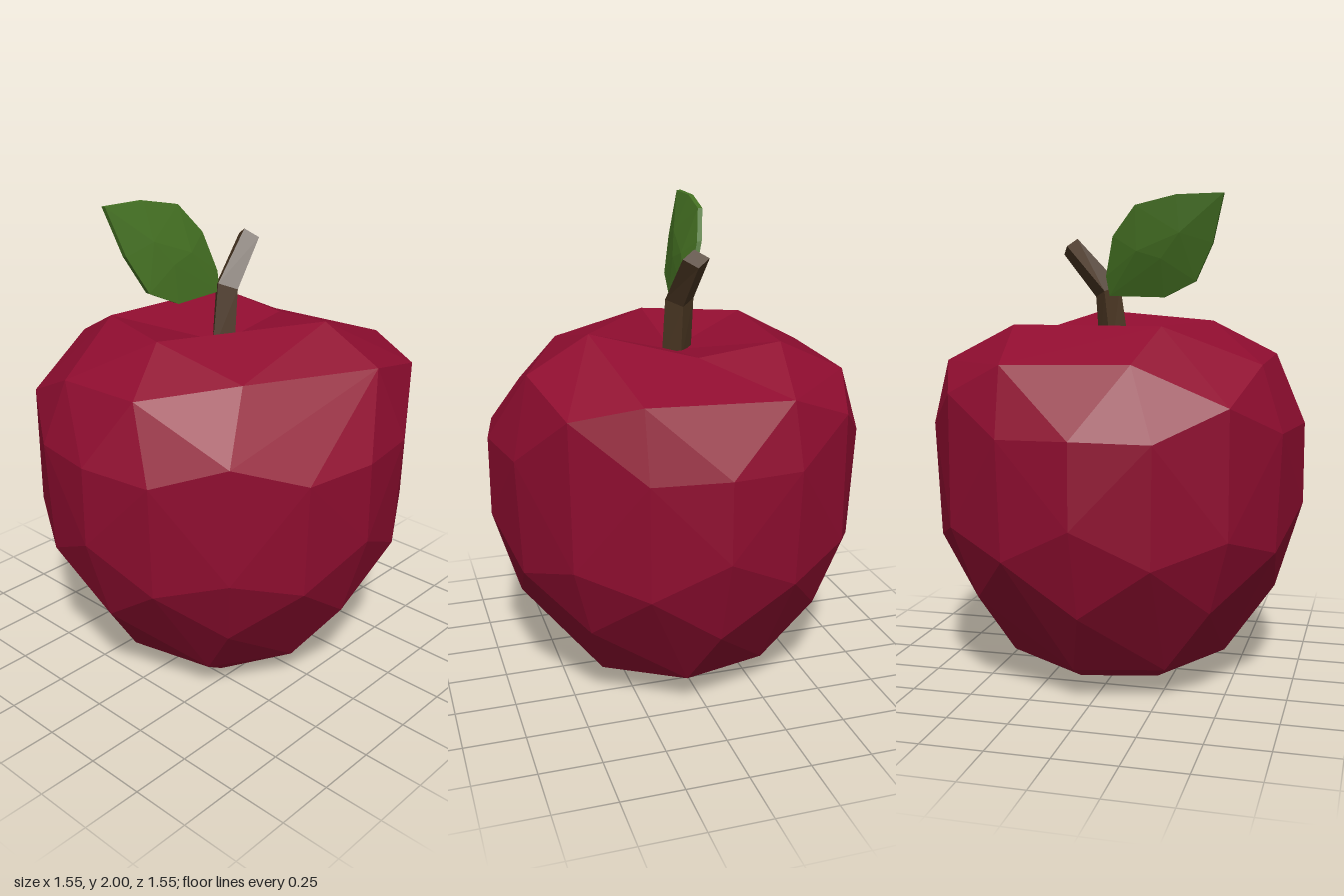
import * as THREE from 'three';
import { ConvexGeometry } from 'three/addons/geometries/ConvexGeometry.js';

const flat = (name, color) => Object.assign(new THREE.MeshStandardMaterial({ color, flatShading: true }), { name });
const V = (x, y, z) => new THREE.Vector3(x, y, z);

// Ring of n points around the y axis
function ring(y, r, n, phase = 0) {
  return Array.from({ length: n }, (_, i) => {
    const a = ((i + phase) / n) * Math.PI * 2;
    return V(r * Math.cos(a), y, r * Math.sin(a));
  });
}

function fromTriangles(points) {
  const g = new THREE.BufferGeometry().setFromPoints(points);
  g.computeVertexNormals();
  return g;
}

// Faceted fruit: a convex shell whose top cap is replaced by a shallow dimple
function bodyGeometry() {
  const rim = [
    V(-0.39, 1.5, 0.02), V(0.18, 1.53, 0.39), V(0.66, 1.36, 0.3),
    V(0.66, 1.34, -0.28), V(0.35, 1.49, -0.34), V(-0.26, 1.49, -0.39),
  ];
  const shoulder = [
    V(0.2, 1.39, 0.64), V(0.56, 1.3, 0.56), V(-0.34, 1.41, 0.42), V(-0.64, 1.36, 0.15),
    V(-0.55, 1.18, 0.55), V(-0.63, 1.34, -0.25), V(-0.55, 1.2, -0.55),
    V(-0.2, 1.36, -0.64), V(0.31, 1.35, -0.63), V(0.55, 1.23, -0.55),
  ];
  const base = [V(-0.22, 0, 0.2), V(0.24, 0.05, 0.12), V(0.1, 0.035, -0.27), V(-0.2, 0.02, -0.16)];
  const shell = new ConvexGeometry([
    ...rim, ...shoulder, ...base,
    ...ring(1.08, 0.777, 8, 0.5),
    ...ring(1.09, 0.775, 4),
    ...ring(0.76, 0.775, 4),
    ...ring(0.7, 0.778, 4, 0.5),
    ...ring(0.61, 0.755, 8, 0.5),
    ...ring(0.4, 0.665, 8),
    ...ring(0.13, 0.475, 8, 0.2),
  ]);
  const p = shell.getAttribute('position');
  const onRim = (v) => rim.some((r) => r.distanceTo(v) < 1e-4);
  const tris = [];
  for (let i = 0; i < p.count; i += 3) {
    const t = [0, 1, 2].map((k) => new THREE.Vector3().fromBufferAttribute(p, i + k));
    if (!t.every(onRim)) tris.push(...t);
  }
  const [a, b, c, d, e, f] = rim;
  const floor = V(0, 1.4, 0);
  const spill = V(0.36, 1.45, 0);
  tris.push(a, b, floor, b, spill, floor, b, c, spill, c, d, spill,
    d, e, spill, e, floor, spill, e, f, floor, f, a, floor);
  return fromTriangles(tris);
}

// Bent four-sided stem lofted through three diamond sections
function stemGeometry() {
  const rings = [
    [V(0.02, 1.36, -0.015), V(0.065, 0, 0), 0.062],
    [V(0.048, 1.62, -0.02), V(0.052, -0.024, 0), 0.06],
    [V(0.203, 1.803, -0.04), V(0.029, -0.032, 0), 0.055],
  ].map(([c, u, w]) => [
    c.clone().add(u), c.clone().add(V(0, 0, -w)), c.clone().sub(u), c.clone().add(V(0, 0, w)),
  ]);
  const tris = [];
  for (let j = 0; j < 2; j++) {
    for (let i = 0; i < 4; i++) {
      const k = (i + 1) % 4;
      const [a, b, c, d] = [rings[j][i], rings[j][k], rings[j + 1][k], rings[j + 1][i]];
      tris.push(a, b, c, a, c, d);
    }
  }
  const t = rings[2];
  tris.push(t[0], t[1], t[2], t[0], t[2], t[3]);
  return fromTriangles(tris);
}

// Thick leaf: outline on a leaning plane, swollen in the middle
function leafGeometry() {
  const outline = [
    [-0.46, 2], [-0.27, 1.997], [-0.1, 1.96], [0, 1.84], [0.04, 1.68],
    [0.03, 1.6], [-0.2, 1.595], [-0.335, 1.66], [-0.41, 1.81],
  ];
  const middle = [[-0.28, 1.85], [-0.2, 1.75], [-0.1, 1.78]];
  const lean = (x, y) => -0.055 - 0.27 * (y - 1.6) + 0.03 * x;
  const pts = [];
  for (const [list, half] of [[outline, 0.01], [middle, 0.034]]) {
    for (const [x, y] of list) {
      for (const s of [-half, half]) pts.push(V(x, y, lean(x, y) + s));
    }
  }
  return new ConvexGeometry(pts);
}

export function createModel() {
  const group = new THREE.Group();
  group.name = 'apple';
  const add = (name, geometry, material) => {
    const mesh = new THREE.Mesh(geometry, material);
    mesh.name = name;
    group.add(mesh);
  };
  add('body', bodyGeometry(), flat('crimson skin', 0x900d30));
  add('stem', stemGeometry(), flat('brown bark', 0x4a3622));
  add('leaf', leafGeometry(), flat('leaf green', 0x447022));
  return group;
}
